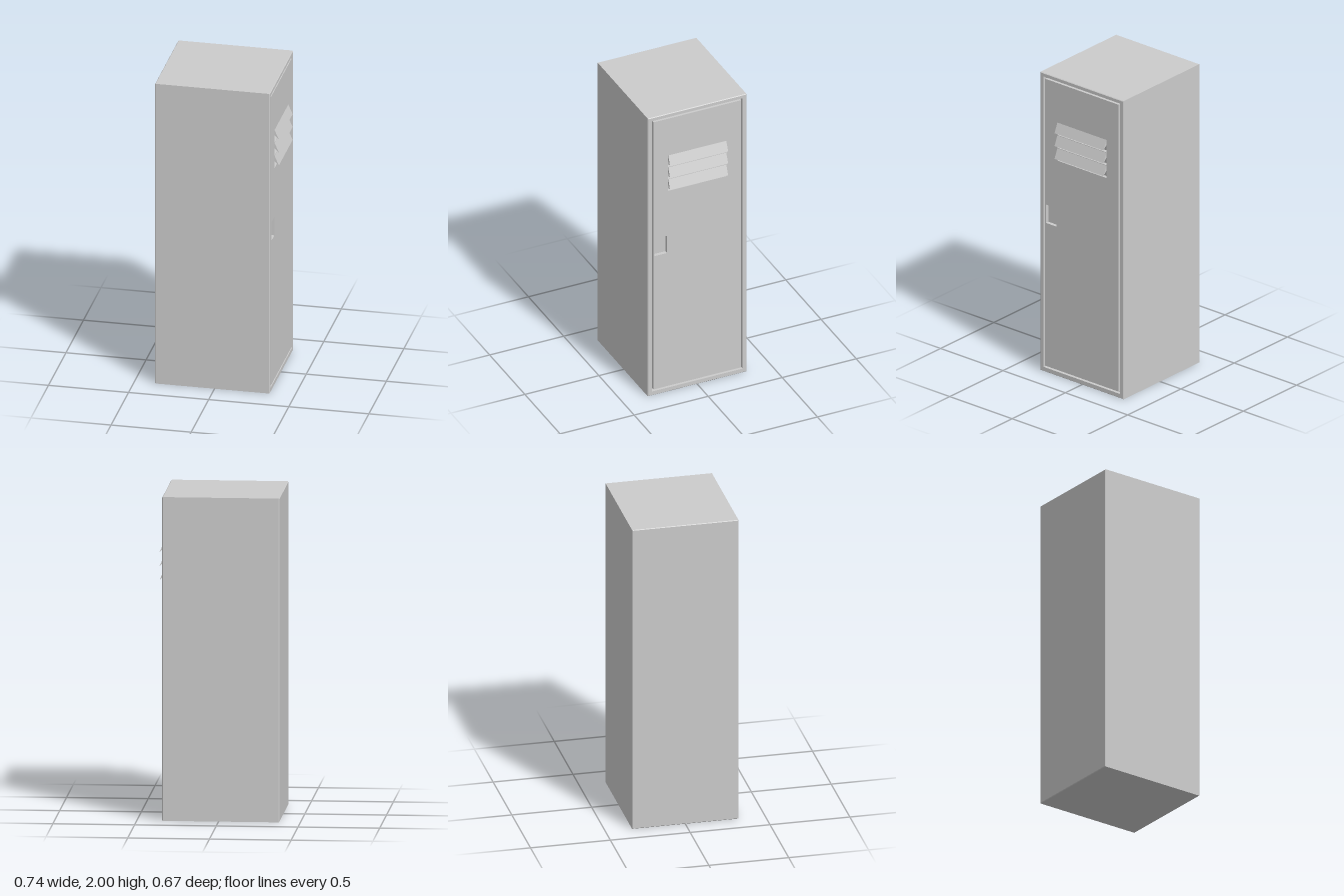
import * as THREE from 'three';

const material = new THREE.MeshStandardMaterial({ color: 0xcccccc, flatShading: true });
const FACE = 0.345, FLOOR = 0.322; // outer face of the door, bottom of its recesses

// Closed solid from rectangular rings [x, halfDepth, bottom, top], running from back to front
function loftRings(rings) {
  const pos = [];
  const corners = rings.map(([x, h, b, t]) => [[x, b, h], [x, b, -h], [x, t, -h], [x, t, h]]);
  const quad = (a, b, c, d) => pos.push(...a, ...b, ...c, ...a, ...c, ...d);
  for (let r = 0; r < corners.length - 1; r++) {
    const p = corners[r], q = corners[r + 1];
    for (let i = 0; i < 4; i++) {
      const j = (i + 1) % 4;
      quad(p[i], p[j], q[j], q[i]);
    }
  }
  const [a, b, c, d] = corners[0];
  quad(d, c, b, a);
  quad(...corners[corners.length - 1]);
  const geometry = new THREE.BufferGeometry();
  geometry.setAttribute('position', new THREE.Float32BufferAttribute(pos, 3));
  geometry.computeVertexNormals();
  return geometry;
}

// Rectangle outline in the door plane
function rect(path, z0, z1, y0, y1) {
  path.moveTo(-z1, y0);
  path.lineTo(-z0, y0);
  path.lineTo(-z0, y1);
  path.lineTo(-z1, y1);
  path.closePath();
  return path;
}

// Prism with an x-y section, centred on z = 0
function prism(points, length) {
  const shape = new THREE.Shape(points.map(([x, y]) => new THREE.Vector2(x, y)));
  return new THREE.ExtrudeGeometry(shape, { depth: length, bevelEnabled: false })
    .translate(0, 0, -length / 2);
}

export function createModel() {
  const group = new THREE.Group();
  const add = (name, geometry) => {
    const mesh = new THREE.Mesh(geometry, material);
    mesh.name = name;
    group.add(mesh);
  };

  // Cabinet with chamfered ends and a recess for the door
  add('cabinet', loftRings([
    [-0.372, 0.329, 0.004, 1.996],
    [-0.368, 0.333, 0, 2],
    [0.341, 0.333, 0, 2],
    [FACE, 0.329, 0.004, 1.996],
    [FACE, 0.306, 0.029, 1.976],
    [FLOOR, 0.306, 0.029, 1.976],
  ]));

  // Door panel with a handle pocket and vent slots
  const louverTops = [1.7, 1.614, 1.528];
  const door = rect(new THREE.Shape(), -0.295, 0.295, 0.041, 1.965);
  door.holes.push(rect(new THREE.Path(), 0.203, 0.288, 1.0, 1.123));
  for (const top of louverTops) {
    door.holes.push(rect(new THREE.Path(), -0.196, 0.196, top - 0.083, top - 0.035));
  }
  add('door', new THREE.ExtrudeGeometry(door, { depth: FACE - FLOOR, bevelEnabled: false })
    .rotateY(Math.PI / 2).translate(FLOOR, 0, 0));

  // Slanted louvers above each slot, with a sloping surface inside the slot
  for (const top of louverTops) {
    add('louver', prism([[FACE, top], [FACE, top - 0.036], [0.372, top - 0.062]], 0.392));
    add('ventBack', prism(
      [[FLOOR, top - 0.083], [0.338, top - 0.035], [FLOOR, top - 0.035]], 0.392));
  }
  return group;
}
